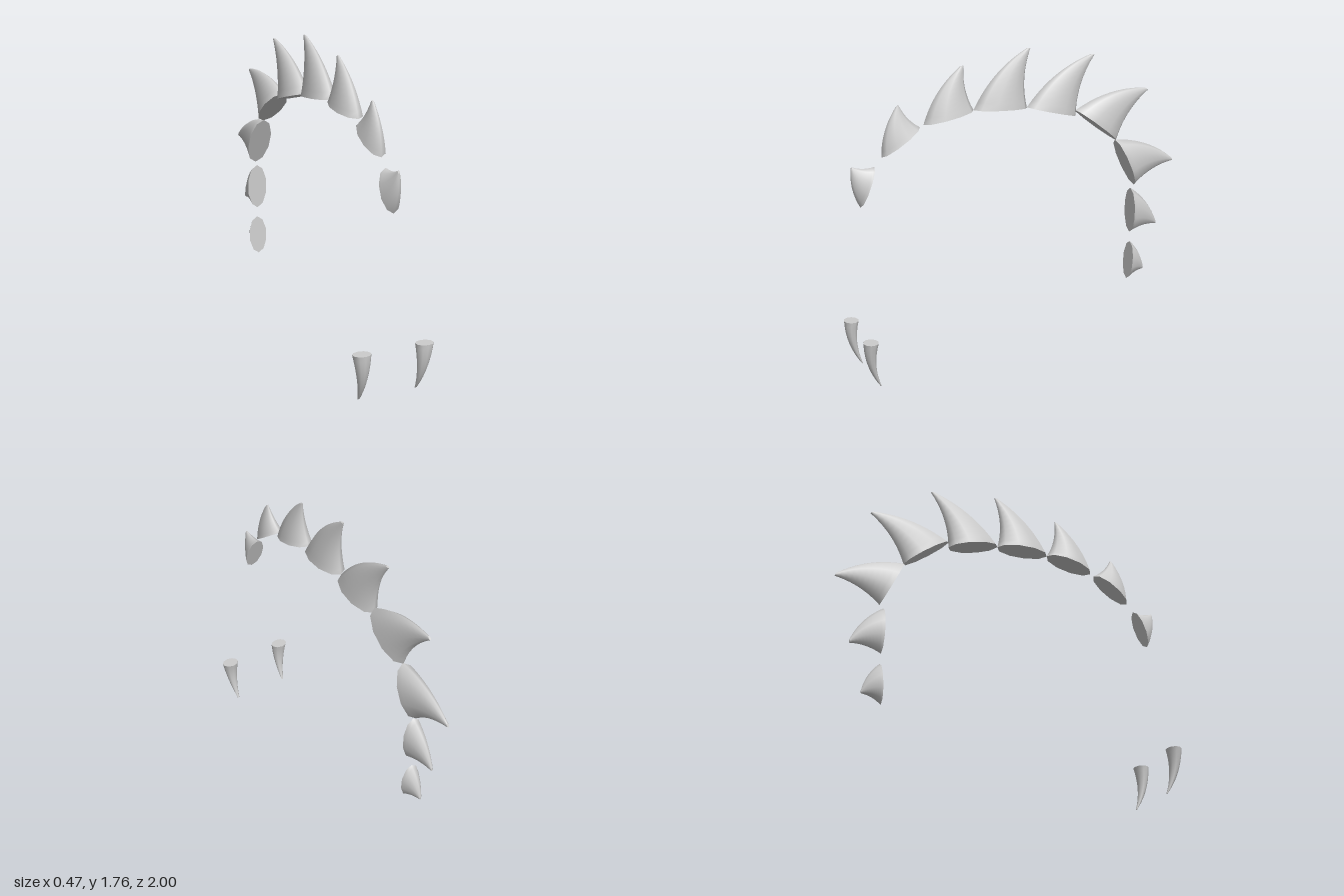
import * as THREE from 'three';

const SIDES = 10, STEPS = 10;

// Curved horn with an elliptical base. a, b: base ends, tip: point, all as [z, y];
// w: half width in x; x0, x1: x of the base and of the tip.
function hornGeometry(a, b, tip, w, x0 = 0, x1 = 0) {
  const A = new THREE.Vector2(...a), B = new THREE.Vector2(...b), T = new THREE.Vector2(...tip);
  const along = A.clone().sub(B);
  const centre = A.clone().add(B).multiplyScalar(0.5);
  const lean = T.clone().sub(centre);
  const sign = Math.sign(along.x * lean.y - along.y * lean.x);

  // Both edges bow towards the a side
  const edge = (base, end) => {
    const d = end.clone().sub(base);
    const side = new THREE.Vector2(-d.y, d.x);
    if (side.dot(along) < 0) side.negate();
    const mid = base.clone().add(end).multiplyScalar(0.5).addScaledVector(side, 0.16);
    return new THREE.QuadraticBezierCurve(base, mid, end);
  };
  const front = edge(A, T.clone().addScaledVector(along, 0.035));
  const back = edge(B, T.clone().addScaledVector(along, -0.035));

  const pos = [], index = [];
  const ring = (t) => {
    const f = front.getPoint(t), k = back.getPoint(t);
    const start = pos.length / 3;
    const half = w * (1 - t) + 0.006 * t;
    for (let j = 0; j < SIDES; j++) {
      const angle = (j / SIDES) * Math.PI * 2;
      const c = Math.cos(angle) / 2;
      pos.push(
        x0 + (x1 - x0) * t + sign * half * Math.sin(angle),
        (f.y + k.y) / 2 + (f.y - k.y) * c,
        (f.x + k.x) / 2 + (f.x - k.x) * c
      );
    }
    return start;
  };

  // Smooth sides
  for (let i = 0; i <= STEPS; i++) {
    const s = ring(i / STEPS);
    if (i === 0) continue;
    for (let j = 0; j < SIDES; j++) {
      const n = (j + 1) % SIDES, p = s - SIDES;
      index.push(p + j, p + n, s + n, p + j, s + n, s + j);
    }
  }
  // Flat base and blunt point
  const base = ring(0), end = ring(1);
  for (let j = 1; j < SIDES - 1; j++) {
    index.push(base, base + j + 1, base + j, end, end + j, end + j + 1);
  }

  const geo = new THREE.BufferGeometry();
  geo.setAttribute('position', new THREE.Float32BufferAttribute(pos, 3));
  geo.setIndex(index);
  geo.computeVertexNormals();
  return geo;
}

export function createModel() {
  const group = new THREE.Group();
  const horn = new THREE.MeshStandardMaterial({ color: 0xcccccc });
  horn.name = 'paleHorn';

  const add = (name, ...args) => {
    const mesh = new THREE.Mesh(hornGeometry(...args), horn);
    mesh.name = name;
    group.add(mesh);
  };

  // Row of back spikes, from the brow over the back and down the tail
  const spikes = [
    [[0.935, 0.96], [0.85, 1.175], [0.978, 1.177], 0.057],
    [[0.81, 1.22], [0.59, 1.367], [0.715, 1.49], 0.062],
    [[0.57, 1.377], [0.28, 1.437], [0.345, 1.68], 0.073],
    [[0.28, 1.435], [-0.04, 1.427], [-0.05, 1.755], 0.074],
    [[-0.04, 1.427], [-0.345, 1.357], [-0.45, 1.7], 0.074],
    [[-0.345, 1.388], [-0.61, 1.192], [-0.807, 1.48], 0.074],
    [[-0.605, 1.195], [-0.737, 0.912], [-0.992, 1.047], 0.072],
    [[-0.715, 0.895], [-0.715, 0.625], [-0.893, 0.667], 0.063],
    [[-0.72, 0.565], [-0.702, 0.335], [-0.813, 0.39], 0.058],
  ];
  spikes.forEach((s, i) => add('backSpike' + (i + 1), ...s));

  // Pair of downward claws
  for (const side of [1, -1]) {
    add(side > 0 ? 'leftClaw' : 'rightClaw',
      [1.0, 0.262], [0.917, 0.262], [0.906, 0], 0.051, side * 0.184, side * 0.17);
  }
  return group;
}
